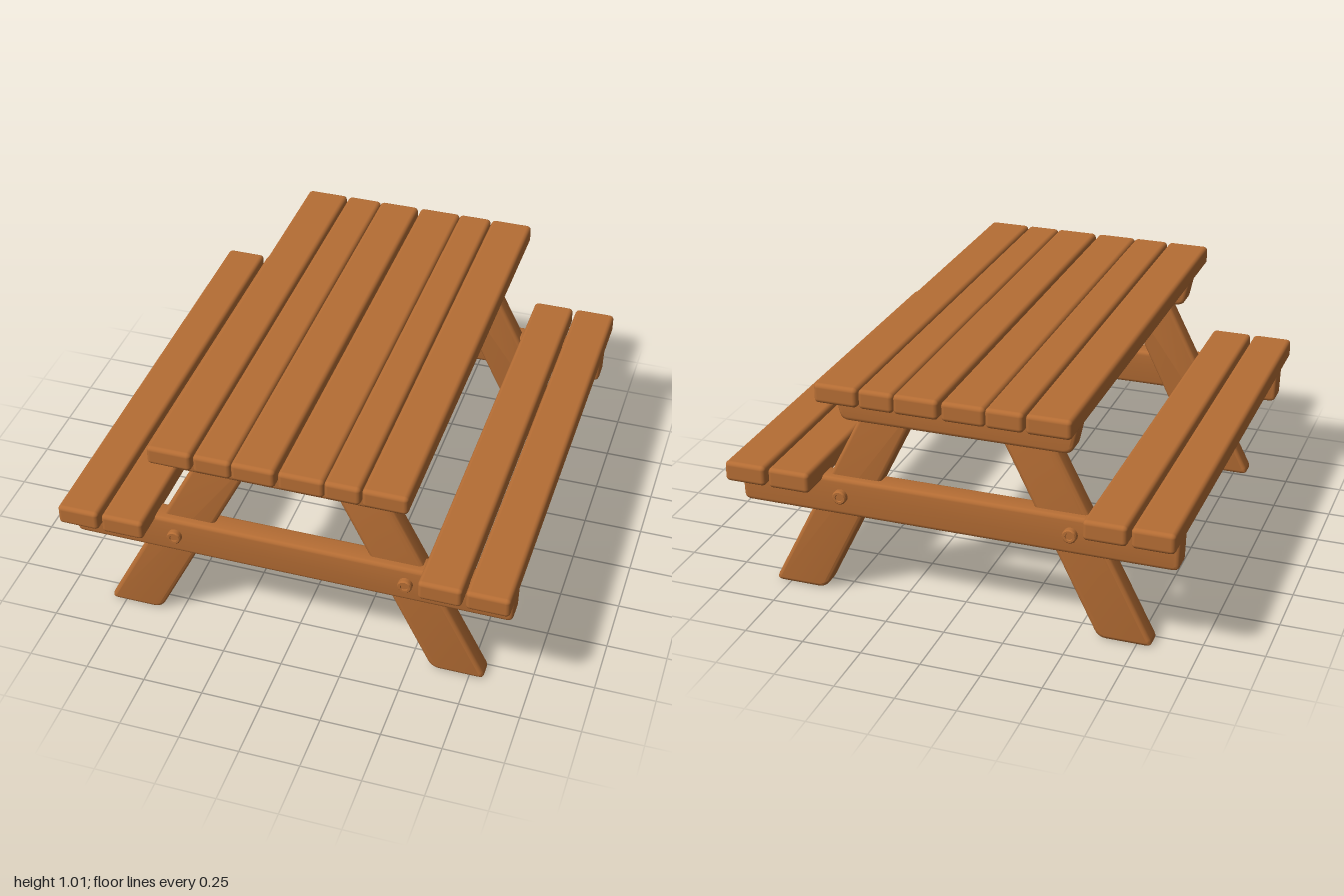
import * as THREE from 'three';
import { toCreasedNormals } from 'three/addons/utils/BufferGeometryUtils.js';
import { RoundedBoxGeometry } from 'three/addons/geometries/RoundedBoxGeometry.js';

const wood = new THREE.MeshStandardMaterial({ color: 0xb56d34 });
wood.name = 'warm wood';

// Outline with softened corners
function roundedOutline(points, radius) {
  const shape = new THREE.Shape();
  const pts = points.map(([x, y]) => new THREE.Vector2(x, y));
  pts.forEach((p, i) => {
    const toward = (q) => p.clone().add(q.clone().sub(p).setLength(radius));
    const a = toward(pts[(i + pts.length - 1) % pts.length]);
    const b = toward(pts[(i + 1) % pts.length]);
    if (i === 0) shape.moveTo(a.x, a.y);
    else shape.lineTo(a.x, a.y);
    shape.quadraticCurveTo(p.x, p.y, b.x, b.y);
  });
  shape.closePath();
  return shape;
}

// Timber cut to an outline in x/y, filling z0..z1, with eased edges
function timber(name, points, z0, z1, radius = 0.035, bevel = 0.016) {
  const geometry = new THREE.ExtrudeGeometry(roundedOutline(points, radius), {
    depth: z1 - z0 - 2 * bevel, curveSegments: 5,
    bevelThickness: bevel, bevelSize: bevel, bevelOffset: -bevel, bevelSegments: 3,
  });
  geometry.translate(0, 0, z0 + bevel);
  const mesh = new THREE.Mesh(toCreasedNormals(geometry, 0.7), wood);
  mesh.name = name;
  return mesh;
}

// Long plank running the full depth
function plank(name, x0, x1, y0, y1) {
  const mesh = new THREE.Mesh(new RoundedBoxGeometry(x1 - x0, y1 - y0, 2, 3, 0.018), wood);
  mesh.name = name;
  mesh.position.set((x0 + x1) / 2, (y0 + y1) / 2, 0);
  return mesh;
}

// One end frame, built facing +z
function endFrame() {
  const frame = new THREE.Group();
  const leg = [[0.59, 0], [0.82, 0], [0.355, 0.91], [0.14, 0.91]];
  const mirrored = leg.map(([x, y]) => [-x, y]).reverse();
  frame.add(timber('leftLeg', leg, 0.755, 0.84));
  frame.add(timber('rightLeg', mirrored, 0.755, 0.84));
  frame.add(timber('topBeam',
    [[-0.48, 0.795], [0.48, 0.795], [0.51, 0.935], [-0.51, 0.935]], 0.76, 0.856));
  frame.add(timber('seatBeam',
    [[-0.92, 0.378], [0.92, 0.378], [0.925, 0.54], [-0.925, 0.54]], 0.775, 0.873, 0.028));

  // Bolt heads with a small raised centre
  for (const x of [-0.485, 0.485]) {
    const profile = [[0, 0], [0.03, 0], [0.03, 0.026], [0.025, 0.031], [0.016, 0.031],
      [0.014, 0.027], [0, 0.027]].map(([r, h]) => new THREE.Vector2(r, h));
    const bolt = new THREE.Mesh(toCreasedNormals(new THREE.LatheGeometry(profile, 16), 0.6), wood);
    bolt.name = 'bolt';
    bolt.rotation.x = Math.PI / 2;
    bolt.position.set(x, 0.465, 0.865);
    frame.add(bolt);
  }
  return frame;
}

export function createModel() {
  const table = new THREE.Group();
  table.name = 'picnicTable';

  // Tabletop
  const tabletop = new THREE.Group();
  tabletop.name = 'tabletop';
  [[-0.525, -0.343], [-0.335, -0.181], [-0.181, -0.004], [0.008, 0.192], [0.192, 0.336], [0.341, 0.522]]
    .forEach(([a, b]) => tabletop.add(plank('tablePlank', a, b, 0.925, 1.007)));
  table.add(tabletop);

  // Benches
  [['rightBench', [[-0.935, -0.762], [-0.747, -0.57]]],
    ['leftBench', [[0.565, 0.742], [0.756, 0.932]]]].forEach(([name, planks]) => {
    const bench = new THREE.Group();
    bench.name = name;
    planks.forEach(([a, b]) => bench.add(plank('seatPlank', a, b, 0.518, 0.604)));
    table.add(bench);
  });

  // End frames
  const front = endFrame();
  front.name = 'frontFrame';
  const back = endFrame();
  back.name = 'backFrame';
  back.rotation.y = Math.PI;
  table.add(front, back);
  return table;
}
